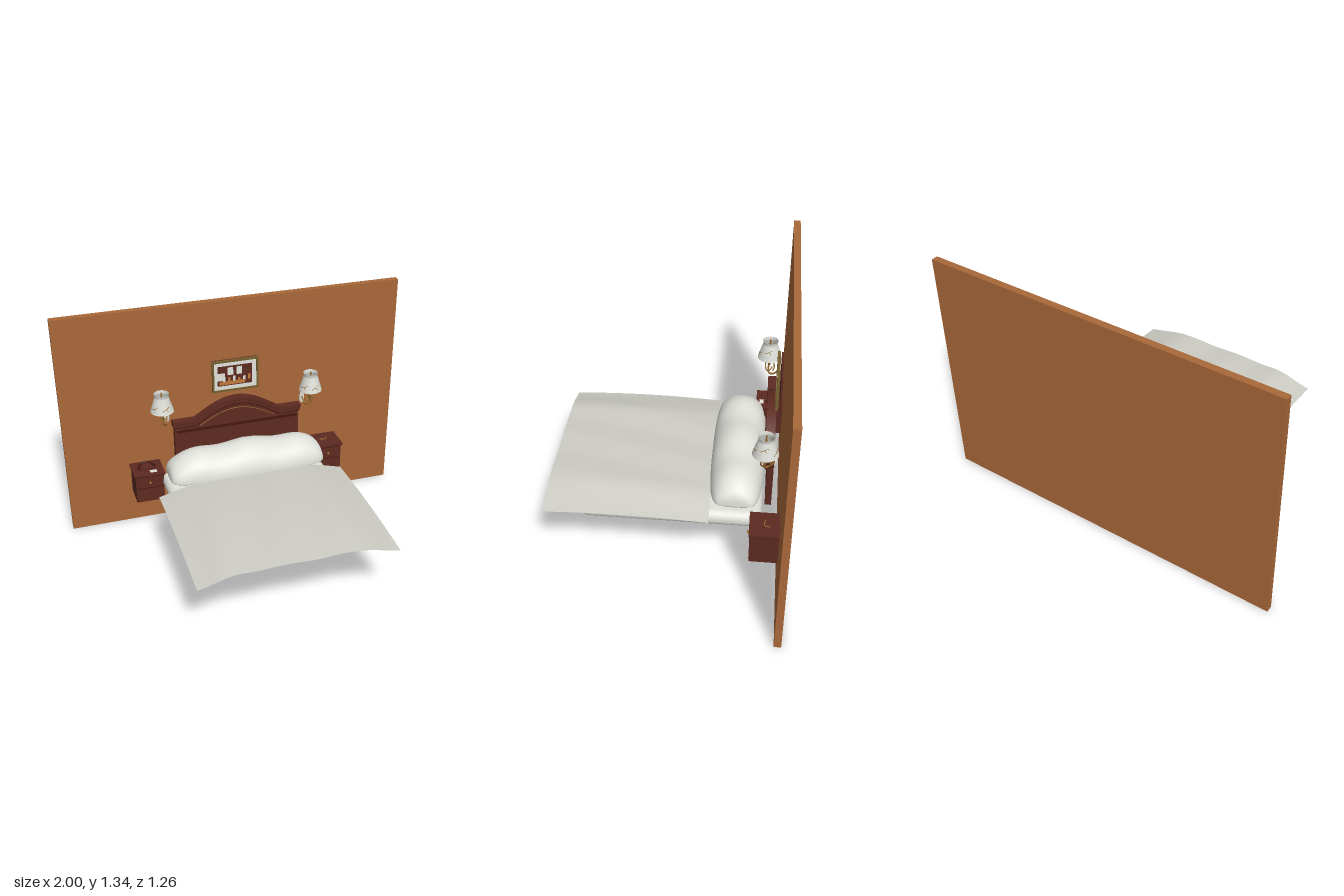
import * as THREE from 'three';
import { RoundedBoxGeometry } from 'three/addons/geometries/RoundedBoxGeometry.js';

const mat = (name, color, side = THREE.FrontSide) => {
  const m = new THREE.MeshStandardMaterial({ color, side });
  m.name = name;
  return m;
};

export function createModel() {
  const root = new THREE.Group();
  root.name = 'bedroomSet';
  const wallPaint = mat('wallPaint', 0xa9683a);
  const wood = mat('mahogany', 0x5c2a20);
  const darkWood = mat('darkMahogany', 0x45190f);
  const linen = mat('linen', 0xe2e2dc);
  const blanketCloth = mat('blanketCloth', 0xcdcdc5, THREE.DoubleSide);
  const shadeCloth = mat('shadeCloth', 0xdcdcd6, THREE.DoubleSide);
  const gold = mat('gold', 0x94692c);
  const frameGold = mat('frameGold', 0x75602f);
  const orange = mat('orangePaint', 0xc07a3c);

  const add = (name, geo, material, parent = root) => {
    const m = new THREE.Mesh(geo, material);
    m.name = name;
    parent.add(m);
    return m;
  };
  // Box given by its limits on each axis
  const box = (name, [x0, x1], [y0, y1], [z0, z1], material, parent) => {
    const m = add(name, new THREE.BoxGeometry(x1 - x0, y1 - y0, z1 - z0), material, parent);
    m.position.set((x0 + x1) / 2, (y0 + y1) / 2, (z0 + z1) / 2);
    return m;
  };
  const tube = (name, pts, r, material, parent, seg = 24) =>
    add(name, new THREE.TubeGeometry(new THREE.CatmullRomCurve3(
      pts.map(p => new THREE.Vector3(...p))), seg, r, 8), material, parent);
  const group = (name, parent = root) => {
    const g = new THREE.Group();
    g.name = name;
    parent.add(g);
    return g;
  };

  box('wall', [-1, 1], [0, 1.335], [-0.63, -0.593], wallPaint);

  // Mattress
  add('mattress', new RoundedBoxGeometry(0.94, 0.09, 0.945, 6, 0.042), linen)
    .position.set(0, 0.32, -0.027);

  // Blanket: sheet that droops at both sides with soft folds
  const sheet = new THREE.PlaneGeometry(1.08, 0.86, 48, 40).rotateX(-Math.PI / 2);
  const sp = sheet.attributes.position;
  for (let i = 0; i < sp.count; i++) {
    const x = sp.getX(i), z = sp.getZ(i) + 0.2;
    const droop = THREE.MathUtils.smoothstep(Math.abs(x), 0.3, 0.6);
    const crown = 0.014 * (1 - ((z - 0.2) / 0.43) ** 2);
    const folds = 0.003 * Math.sin(x * 20 + z * 5) * (1 - droop);
    sp.setXYZ(i, x, 0.415 + crown + folds - 0.057 * droop, z);
  }
  sheet.computeVertexNormals();
  add('blanket', sheet, blanketCloth);

  // Long pillow: sphere with poles on x, squared off and flattened below
  const pillow = new THREE.SphereGeometry(1, 48, 40).rotateZ(Math.PI / 2);
  const pp = pillow.attributes.position;
  for (let i = 0; i < pp.count; i++) {
    const x = pp.getX(i), y = pp.getY(i), z = pp.getZ(i);
    const r = Math.max(Math.hypot(y, z), 1e-5);
    const X = 0.455 * Math.sign(x) * Math.abs(x) ** 0.75;
    const up = 0.147 + 0.011 * Math.cos(X * 19 + 5.9);
    const Y = (y / r) * r ** 0.6 * (y > 0 ? up : 0.03);
    pp.setXYZ(i, X, 0.412 + Y, -0.358 + 0.143 * (z / r) * r ** 0.3);
  }
  pillow.computeVertexNormals();
  add('pillow', pillow, linen);

  // Headboard: arched panel, stepped cornice following the arch
  const headboard = group('headboard');
  const topY = x => 0.665 + (Math.abs(x) < 0.25 ? 0.105 * Math.cos(x * Math.PI / 0.5) : 0);
  const band = (name, half, top, bottom, z0, z1, material) => {
    const s = new THREE.Shape(), n = 48;
    const xs = Array.from({ length: n + 1 }, (_, i) => -half + 2 * half * i / n);
    s.moveTo(-half, bottom(-half));
    xs.forEach(x => s.lineTo(x, top(x)));
    xs.reverse().forEach(x => s.lineTo(x, bottom(x)));
    const g = new THREE.ExtrudeGeometry(s, { depth: z1 - z0, bevelEnabled: false });
    add(name, g, material, headboard).position.z = z0;
  };
  band('panel', 0.375, x => topY(x) - 0.005, () => 0.37, -0.545, -0.512, wood);
  [[0, 0.016, 0.385, -0.497, wood], [0.016, 0.022, 0.381, -0.505, darkWood],
    [0.022, 0.036, 0.383, -0.501, wood], [0.036, 0.046, 0.378, -0.507, darkWood]]
    .forEach(([a, b, half, z, m]) =>
      band('cornice', half, x => topY(x) - a, x => topY(x) - b, -0.545, z, m));
  box('lowerMoulding', [-0.36, 0.36], [0.592, 0.608], [-0.515, -0.501], darkWood, headboard);
  box('lowerMouldingLip', [-0.37, 0.37], [0.608, 0.616], [-0.515, -0.506], wood, headboard);
  const arc = Array.from({ length: 13 }, (_, i) => {
    const x = -0.225 + 0.45 * i / 12;
    return [x, 0.618 + 0.083 * Math.cos(x * Math.PI / 0.45), -0.511];
  });
  tube('inlayArch', arc, 0.0022, gold, headboard, 40);

  for (const s of [-1, 1]) {
    // Nightstand with two drawers
    const stand = group(s > 0 ? 'leftNightstand' : 'rightNightstand');
    stand.position.x = s * 0.548;
    box('body', [-0.082, 0.082], [0.205, 0.375], [-0.593, -0.447], wood, stand);
    box('top', [-0.09, 0.09], [0.375, 0.388], [-0.593, -0.439], wood, stand);
    box('topLip', [-0.085, 0.085], [0.368, 0.375], [-0.593, -0.443], darkWood, stand);
    box('drawer', [-0.072, 0.072], [0.3, 0.362], [-0.45, -0.443], wood, stand);
    box('drawerGap', [-0.08, 0.08], [0.292, 0.296], [-0.45, -0.445], darkWood, stand);
    box('lowerDrawer', [-0.072, 0.072], [0.215, 0.288], [-0.45, -0.444], wood, stand);
    add('knob', new THREE.SphereGeometry(0.008, 12, 8), gold, stand).position.set(0, 0.333, -0.437);

    // Wall lamp: plate, curved arms, holder and shade
    const lamp = group(s > 0 ? 'leftLamp' : 'rightLamp');
    lamp.position.set(s * 0.442, 0, -0.498);
    const plate = add('wallPlate', new THREE.CylinderGeometry(0.5, 0.5, 1, 24).rotateX(Math.PI / 2), shadeCloth, lamp);
    plate.scale.set(0.03, 0.066, 0.008);
    plate.position.set(-s * 0.033, 0.683, -0.054);
    tube('arm', [[-s * 0.033, 0.69, -0.05], [-s * 0.028, 0.665, -0.03], [-s * 0.018, 0.658, -0.005],
      [-s * 0.004, 0.675, 0.004], [0, 0.71, 0], [0, 0.75, 0]], 0.005, gold, lamp);
    tube('scroll', [[0, 0.735, 0], [s * 0.012, 0.72, 0.016], [s * 0.002, 0.69, 0.02],
      [-s * 0.012, 0.67, 0.01], [-s * 0.02, 0.685, -0.008], [-s * 0.012, 0.7, -0.018]], 0.0035, gold, lamp);
    tube('leafArm', [[0, 0.74, 0], [s * 0.004, 0.72, -0.022], [s * 0.002, 0.69, -0.03],
      [-s * 0.01, 0.67, -0.022]], 0.0035, gold, lamp);
    add('holder', new THREE.LatheGeometry([[0, 0.7], [0.008, 0.705], [0.006, 0.72], [0.016, 0.735],
      [0.016, 0.74], [0.007, 0.742], [0.007, 0.8], [0, 0.8]].map(p => new THREE.Vector2(...p)), 16), gold, lamp);
    add('bulb', new THREE.SphereGeometry(0.015, 16, 12), linen, lamp).position.y = 0.812;
    add('finial', new THREE.CylinderGeometry(0.004, 0.006, 0.05, 10), gold, lamp).position.y = 0.845;
    add('shade', new THREE.LatheGeometry([[0.067, 0.757], [0.041, 0.843], [0.039, 0.848], [0.043, 0.865]]
      .map(p => new THREE.Vector2(...p)), 32), shadeCloth, lamp);
    // Painted twigs lying on the shade
    const onShade = (a, y) => {
      const r = 0.0673 - (y - 0.757) * 0.302;
      return [r * Math.sin(a), y, r * Math.cos(a)];
    };
    for (let k = 0; k < 5; k++) {
      const a = k * Math.PI * 0.4 + 0.2, y = 0.79 + (k % 2) * 0.025;
      tube('twig', [onShade(a - 0.4, y - 0.012), onShade(a, y), onShade(a + 0.4, y + 0.008)], 0.0015, gold, lamp, 8);
      tube('twigTip', [onShade(a, y), onShade(a + 0.2, y - 0.014)], 0.0013, gold, lamp, 4);
    }
  }

  // Telephone and notepad on the right nightstand, pen on the left one
  const phone = group('telephone');
  box('phoneBase', [-0.595, -0.51], [0.388, 0.405], [-0.56, -0.49], wood, phone);
  const handle = add('handset', new THREE.TorusGeometry(0.042, 0.007, 8, 20, Math.PI), darkWood, phone);
  handle.scale.y = 0.75;
  handle.position.set(-0.553, 0.4, -0.51);
  for (const x of [-0.595, -0.511])
    add('earpiece', new THREE.CylinderGeometry(0.011, 0.012, 0.012, 12), darkWood, phone).position.set(x, 0.4, -0.51);
  box('notepad', [-0.54, -0.5], [0.388, 0.391], [-0.482, -0.458], linen);
  tube('pen', [[0.52, 0.391, -0.52], [0.555, 0.391, -0.515], [0.57, 0.391, -0.545]], 0.003, gold);

  // Framed picture with backing board, mat and a painted table scene
  const picture = group('picture');
  box('backing', [-0.132, 0.132], [0.8, 0.988], [-0.567, -0.557], wood, picture);
  box('matBoard', [-0.128, 0.128], [0.808, 0.982], [-0.549, -0.541], linen, picture);
  for (const s of [-1, 1]) {
    box('frameSide', s > 0 ? [0.125, 0.136] : [-0.136, -0.125], [0.8, 0.992], [-0.551, -0.536], frameGold, picture);
    box('frameRail', [-0.125, 0.125], s > 0 ? [0.981, 0.992] : [0.8, 0.811], [-0.551, -0.536], frameGold, picture);
  }
  const paint = (name, x, y, layer, m) => box(name, x, y, [-0.542, -0.5405 + layer * 0.001], m, picture);
  paint('paintedRoom', [-0.105, 0.1], [0.835, 0.958], 0, wood);
  paint('paintedWindow', [-0.045, 0.04], [0.9, 0.948], 1, linen);
  paint('paintedMullion', [-0.012, 0.008], [0.9, 0.948], 2, wood);
  paint('paintedWallLeft', [-0.105, -0.06], [0.868, 0.915], 1, linen);
  paint('paintedTable', [-0.095, 0.06], [0.84, 0.862], 1, orange);
  for (let i = 0; i < 6; i++) {
    const x = -0.075 + i * 0.03, h = 0.015 + (i % 3) * 0.008;
    paint('paintedDish', [x, x + 0.015], [0.862, 0.862 + h], 2, i % 2 ? orange : linen);
  }
  return root;
}
